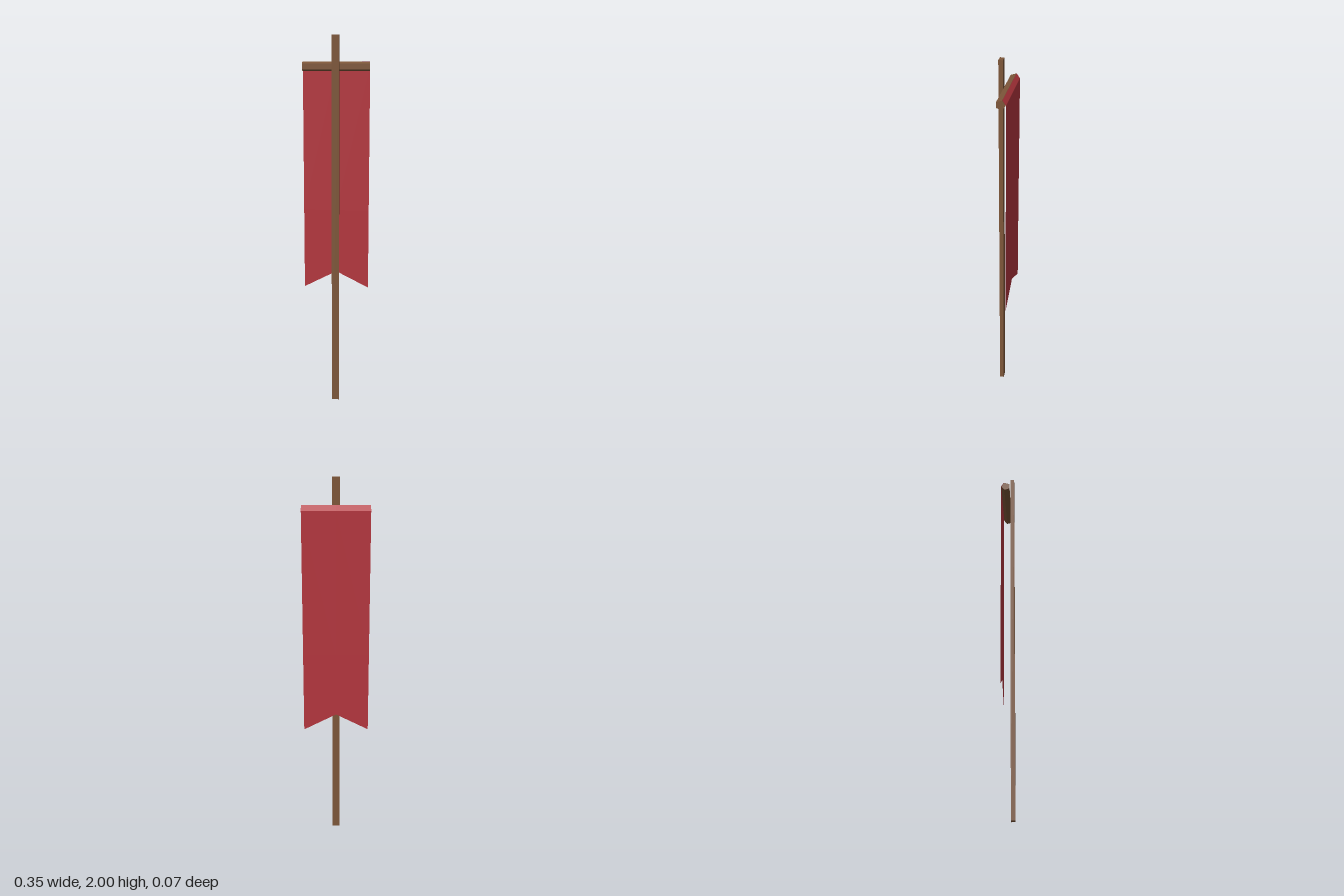
import * as THREE from 'three';

export function createModel() {
  const wood = new THREE.MeshStandardMaterial({ color: 0x7d5639, flatShading: true });
  wood.name = 'brown wood';
  const red = new THREE.MeshStandardMaterial({ color: 0xb4363e, flatShading: true, side: THREE.DoubleSide });
  red.name = 'red cloth';

  const group = new THREE.Group();
  group.name = 'banner';
  const add = (name, geometry, material, x, y, z) => {
    const mesh = new THREE.Mesh(geometry, material);
    mesh.name = name;
    mesh.position.set(x, y, z);
    group.add(mesh);
  };

  // square upright pole in front of the cloth
  add('pole', new THREE.BoxGeometry(0.039, 2, 0.022), wood, -0.0015, 1, 0.023);

  // five-sided crossbar, flat side against the pole and one edge to the back
  const bar = new THREE.CylinderGeometry(0.025, 0.025, 0.349, 5, 1, false, Math.PI);
  bar.rotateZ(Math.PI / 2);
  add('crossbar', bar, wood, -0.001, 1.842, -0.008);

  // cloth folded over the upper back face of the bar, with a notched hem
  const rows = [[1.867, -0.0175], [1.842, -0.0345], [1.08, -0.033], [0.645, -0.033]];
  const cloth = new THREE.PlaneGeometry(0.35, 1, 2, rows.length - 1);
  const pos = cloth.attributes.position;
  for (let i = 0; i < pos.count; i++) {
    const row = Math.floor(i / 3);
    const notch = row === rows.length - 1 && i % 3 === 1 ? 0.09 : 0;
    pos.setY(i, rows[row][0] + notch);
    pos.setZ(i, rows[row][1]);
  }
  cloth.computeVertexNormals();
  add('cloth', cloth, red, -0.001, 0, 0);

  return group;
}
